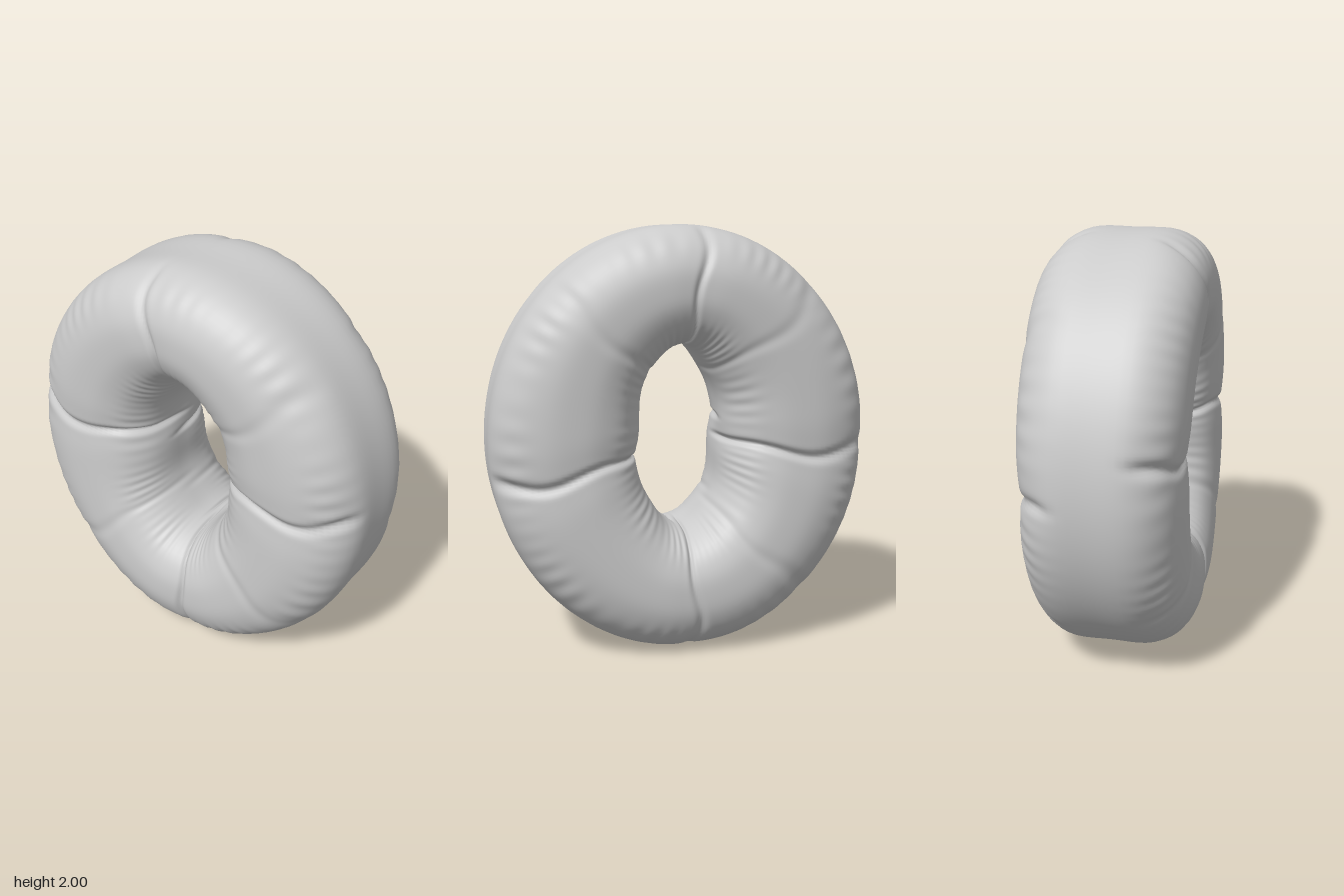
import * as THREE from 'three';

const AROUND = 400, SECTION = 72;
const rad = THREE.MathUtils.degToRad;

// Half of the puffy cross-section: [0 = hole side .. 1 = outer side, depth]
const HALF = [[0.998, 0.17], [0.955, 0.25], [0.85, 0.325], [0.68, 0.375], [0.5, 0.386],
  [0.32, 0.372], [0.15, 0.315], [0.04, 0.21], [0.003, 0.1]];

// Pinched seams: angle around the ring (degrees), depth, width
const FRONT_SEAMS = [[3, 0.09, 0.03], [99, 0.07, 0.03], [172, 0.09, 0.03], [276, 0.07, 0.03],
  [40, 0.025, 0.05], [222, 0.025, 0.05], [318, 0.025, 0.05]];
const BACK_SEAMS = [[350, 0.09, 0.03], [94, 0.06, 0.03], [184, 0.09, 0.03], [268, 0.06, 0.03],
  [45, 0.025, 0.05], [135, 0.025, 0.05], [230, 0.025, 0.05]];

function sectionPoints() {
  const front = HALF.map(([s, z]) => new THREE.Vector3(s, z, 0));
  const back = HALF.map(([s, z]) => new THREE.Vector3(s, -z, 0)).reverse();
  const loop = [new THREE.Vector3(1, 0, 0), ...front, new THREE.Vector3(0, 0, 0), ...back];
  return new THREE.CatmullRomCurve3(loop, true).getSpacedPoints(SECTION).slice(0, SECTION);
}

// Sum of the seam dents at ring angle u; each seam wanders a little across the section
function seamDent(u, s, seams) {
  let dent = 0;
  seams.forEach(([deg, depth, width], k) => {
    const wander = 0.035 * Math.sin(s * 7 + k * 2);
    let d = u - rad(deg) - wander;
    d = Math.atan2(Math.sin(d), Math.cos(d));
    dent += depth * (0.65 * Math.exp(-((d / width) ** 2)) + 0.35 * Math.exp(-((d / (width * 5)) ** 2)));
  });
  return dent;
}

// Fine puckers along the rounded shoulders
function pucker(u, s, z) {
  const shoulder = Math.exp(-(((s - 0.88) / 0.09) ** 2)) + 0.8 * Math.exp(-(((s - 0.1) / 0.1) ** 2));
  const side = z > 0 ? 0 : 2;
  const wave = Math.sin(u * 58 + 2.5 * Math.sin(u * 5 + side)) * (0.6 + 0.4 * Math.sin(u * 9 + side));
  return 0.007 * shoulder * wave * THREE.MathUtils.smoothstep(Math.abs(z), 0.08, 0.24);
}

function ringGeometry() {
  const section = sectionPoints();
  const positions = [], index = [];
  for (let i = 0; i < AROUND; i++) {
    const u = (i / AROUND) * Math.PI * 2;
    const c = Math.cos(u), n = Math.sin(u);
    // outer outline and narrower, slightly lumpy hole outline
    const lump = 1 + 0.05 * Math.cos(6 * u + 2.6);
    const ox = 0.9 * c, oy = 1 + n;
    const ix = 0.205 * c * lump, iy = 1.015 + 0.43 * n;
    for (const p of section) {
      const s0 = p.x, z0 = p.y;
      const blend = THREE.MathUtils.smoothstep(z0, -0.12, 0.12);
      const dent = blend * seamDent(u, s0, FRONT_SEAMS) + (1 - blend) * seamDent(u, s0, BACK_SEAMS);
      // the flat outer band stays taut
      const band = THREE.MathUtils.smoothstep(s0, 0.9, 1) * (1 - THREE.MathUtils.smoothstep(Math.abs(z0), 0.12, 0.28));
      const k = 1 - dent * (1 - band) + pucker(u, s0, z0);
      const s = 0.5 + (s0 - 0.5) * k;
      // sides are a touch thinner than top and bottom
      const z = z0 * k * (1 - 0.04 * c * c);
      positions.push(ix + (ox - ix) * s, iy + (oy - iy) * s, z);
    }
  }
  for (let i = 0; i < AROUND; i++) {
    for (let j = 0; j < SECTION; j++) {
      const i2 = (i + 1) % AROUND, j2 = (j + 1) % SECTION;
      const a = i * SECTION + j, b = i2 * SECTION + j;
      const d = i * SECTION + j2, e = i2 * SECTION + j2;
      index.push(a, b, e, a, e, d);
    }
  }
  const geometry = new THREE.BufferGeometry();
  geometry.setAttribute('position', new THREE.Float32BufferAttribute(positions, 3));
  geometry.setIndex(index);
  geometry.computeVertexNormals();
  return geometry;
}

export function createModel() {
  const group = new THREE.Group();
  group.name = 'inflatableRing';
  const ring = new THREE.Mesh(ringGeometry(), new THREE.MeshStandardMaterial({ color: 0xcccccc }));
  ring.name = 'puffyRing';
  group.add(ring);
  return group;
}
